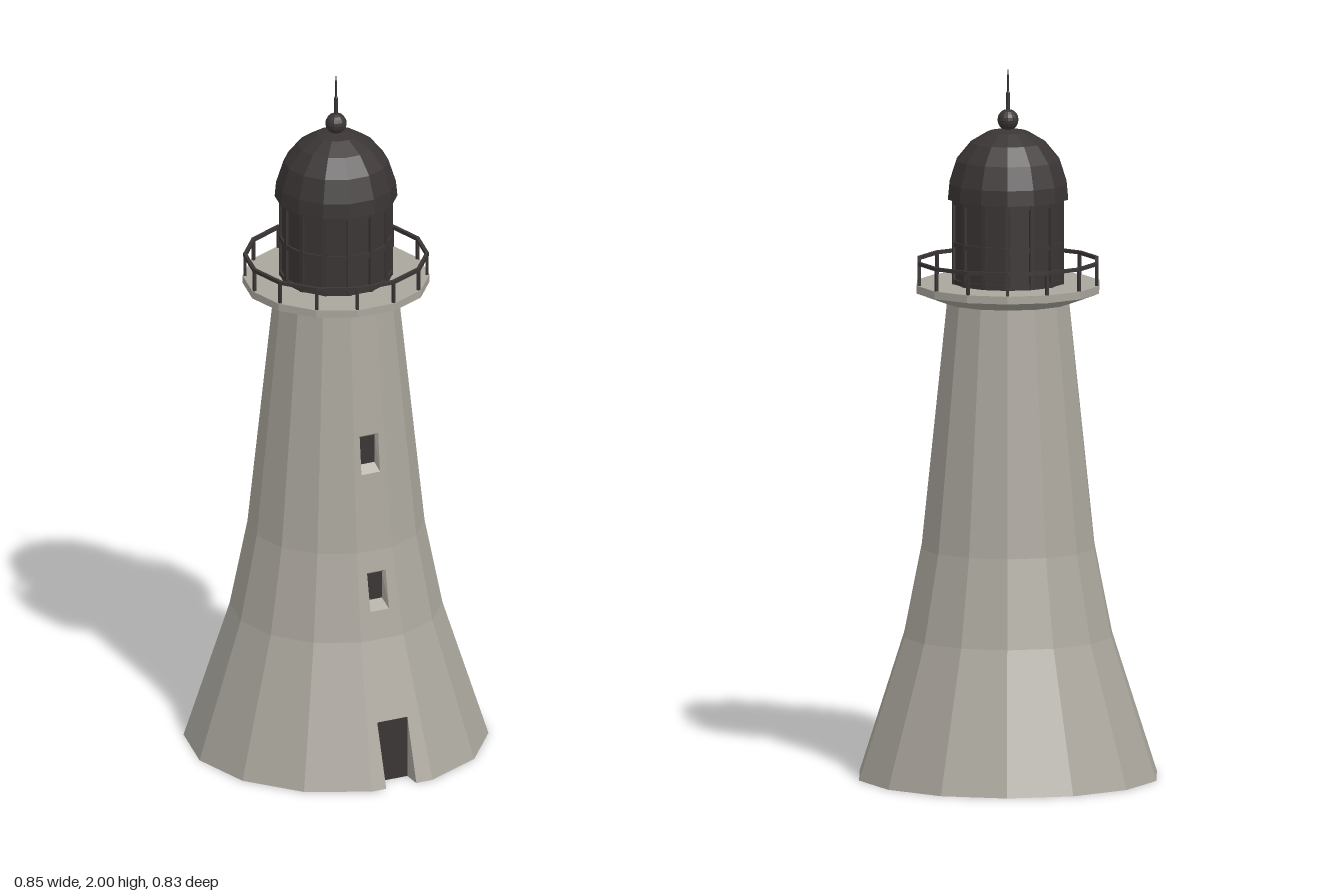
import * as THREE from 'three';

const SIDES = 14;
const STEP = (Math.PI * 2) / SIDES;
const HALF = STEP / 2;

// Tower radius at its corners, as [radius, height]
const PROFILE = [[0.427, 0], [0.298, 0.4], [0.248, 0.65], [0.174, 1.35]];

function towerRadius(y) {
  let i = 0;
  while (i < PROFILE.length - 2 && y > PROFILE[i + 1][1]) i++;
  const [r0, y0] = PROFILE[i], [r1, y1] = PROFILE[i + 1];
  return r0 + ((r1 - r0) * (y - y0)) / (y1 - y0);
}
const wallZ = (y) => towerRadius(y) * Math.cos(HALF);

export function createModel() {
  const model = new THREE.Group();
  const make = (name, color) => new THREE.MeshStandardMaterial({
    name, color, flatShading: true, side: THREE.DoubleSide,
  });
  const stone = make('pale stone', 0xaaa69d);
  const iron = make('dark iron', 0x3b3535);

  const add = (name, geometry, material, parent = model) => {
    const mesh = new THREE.Mesh(geometry, material);
    mesh.name = name;
    parent.add(mesh);
    return mesh;
  };
  const group = (name) => {
    const g = new THREE.Group();
    g.name = name;
    model.add(g);
    return g;
  };
  const lathe = (points, segments = SIDES, start = HALF, length = Math.PI * 2) =>
    new THREE.LatheGeometry(points.map(([r, y]) => new THREE.Vector2(r, y)), segments, start, length);
  const vectors = (points) => points.map(([x, y]) => new THREE.Vector2(x, y));
  // Flat convex face through the given corners
  const face = (corners) => {
    const g = new THREE.BufferGeometry();
    g.setAttribute('position', new THREE.Float32BufferAttribute(corners.flat(), 3));
    g.setIndex(corners.length === 4 ? [0, 1, 2, 0, 2, 3] : [0, 1, 2]);
    g.computeVertexNormals();
    return g;
  };

  // Tower: every side but the front one
  const tower = group('tower');
  add('towerWall', lathe(PROFILE, SIDES - 1, HALF, STEP * (SIDES - 1)), stone, tower);

  // Front side, in sloping bands with openings for the door and windows
  const door = { x0: -0.05, x1: 0.044, top: 0.18 };
  const windows = [
    { w: 0.029, y0: 0.48, y1: 0.59 },
    { w: 0.029, y0: 0.875, y1: 0.988 },
  ];
  for (let i = 0; i < 3; i++) {
    const [r0, y0] = PROFILE[i], [r1, y1] = PROFILE[i + 1];
    const a = r0 * Math.sin(HALF), b = r1 * Math.sin(HALF);
    const notch = i === 0
      ? [[door.x0, 0], [door.x0, door.top], [door.x1, door.top], [door.x1, 0]] : [];
    const shape = new THREE.Shape(vectors([[-a, y0], ...notch, [a, y0], [b, y1], [-b, y1]]));
    for (const { w, y0: lo, y1: hi } of windows) {
      if (lo > y0 && hi < y1) {
        shape.holes.push(new THREE.Path(vectors([[-w, lo], [-w, hi], [w, hi], [w, lo]])));
      }
    }
    const geometry = new THREE.ShapeGeometry(shape);
    const pos = geometry.attributes.position;
    for (let k = 0; k < pos.count; k++) pos.setZ(k, wallZ(pos.getY(k)));
    geometry.computeVertexNormals();
    add('frontWall', geometry, stone, tower);
  }

  // Door set upright into the slope, with triangular cheeks
  const doorZ = wallZ(door.top);
  add('door', face([
    [door.x0, 0, doorZ], [door.x1, 0, doorZ],
    [door.x1, door.top, doorZ], [door.x0, door.top, doorZ],
  ]), iron);
  for (const x of [door.x0, door.x1]) {
    add('doorCheek', face([[x, 0, doorZ], [x, 0, wallZ(0)], [x, door.top, doorZ]]), stone, tower);
  }

  // Underside, notched at the doorway
  const outline = [];
  for (let i = 0; i < SIDES; i++) {
    const t = HALF + i * STEP;
    outline.push([PROFILE[0][0] * Math.sin(t), PROFILE[0][0] * Math.cos(t)]);
  }
  outline.push([door.x0, wallZ(0)], [door.x0, doorZ], [door.x1, doorZ], [door.x1, wallZ(0)]);
  const base = new THREE.ShapeGeometry(new THREE.Shape(vectors(outline)));
  base.rotateX(Math.PI / 2);
  add('underside', base, stone, tower);

  // Windows: splayed reveal around a dark pane
  for (const { w, y0, y1 } of windows) {
    const win = group('window');
    const z = wallZ(y1) - 0.012, v = w - 0.006, lo = y0 + 0.022, hi = y1 - 0.008;
    const outer = [[-w, y0], [w, y0], [w, y1], [-w, y1]].map(([x, y]) => [x, y, wallZ(y)]);
    const inner = [[-v, lo, z], [v, lo, z], [v, hi, z], [-v, hi, z]];
    add('windowPane', face(inner), iron, win);
    for (let i = 0; i < 4; i++) {
      const j = (i + 1) % 4;
      add('windowReveal', face([outer[i], outer[j], inner[j], inner[i]]), stone, win);
    }
  }

  // Gallery deck with a flared underside
  add('galleryDeck', lathe([[0, 1.345], [0.185, 1.345], [0.262, 1.374], [0.262, 1.396], [0, 1.396]]), stone);

  // Railing: one post per corner and a top rail
  const railing = group('railing');
  add('topRail', lathe([[0.25, 1.453], [0.26, 1.453], [0.26, 1.463], [0.25, 1.463], [0.25, 1.453]]), iron, railing);
  for (let i = 0; i < SIDES; i++) {
    const t = HALF + i * STEP;
    const post = add('railPost', new THREE.BoxGeometry(0.008, 0.062, 0.008), iron, railing);
    post.position.set(0.255 * Math.sin(t), 1.425, 0.255 * Math.cos(t));
    post.rotation.y = t;
  }

  // Lantern room: dark glazing, corner bars and rings
  const lantern = group('lantern');
  add('lanternGlazing', lathe([[0.153, 1.396], [0.153, 1.64]]), iron, lantern);
  for (const y of [1.405, 1.51, 1.63]) {
    add('lanternRing', lathe([[0.15, y - 0.007], [0.159, y - 0.007], [0.159, y + 0.007], [0.15, y + 0.007]]), iron, lantern);
  }
  for (let i = 0; i < SIDES; i++) {
    const t = HALF + i * STEP;
    const bar = add('lanternBar', new THREE.BoxGeometry(0.012, 0.24, 0.012), iron, lantern);
    bar.position.set(0.153 * Math.sin(t), 1.517, 0.153 * Math.cos(t));
    bar.rotation.y = t;
  }

  // Dome, ball and spire
  add('dome', lathe([
    [0, 1.637], [0.172, 1.637], [0.168, 1.68], [0.147, 1.745],
    [0.106, 1.795], [0.056, 1.825], [0, 1.836],
  ]), iron);
  add('finialBall', new THREE.SphereGeometry(0.03, 14, 10), iron).position.y = 1.858;
  add('spire', lathe([[0.006, 1.88], [0.005, 1.935], [0.0025, 1.94], [0.002, 2], [0, 2]], 8), iron);

  return model;
}
